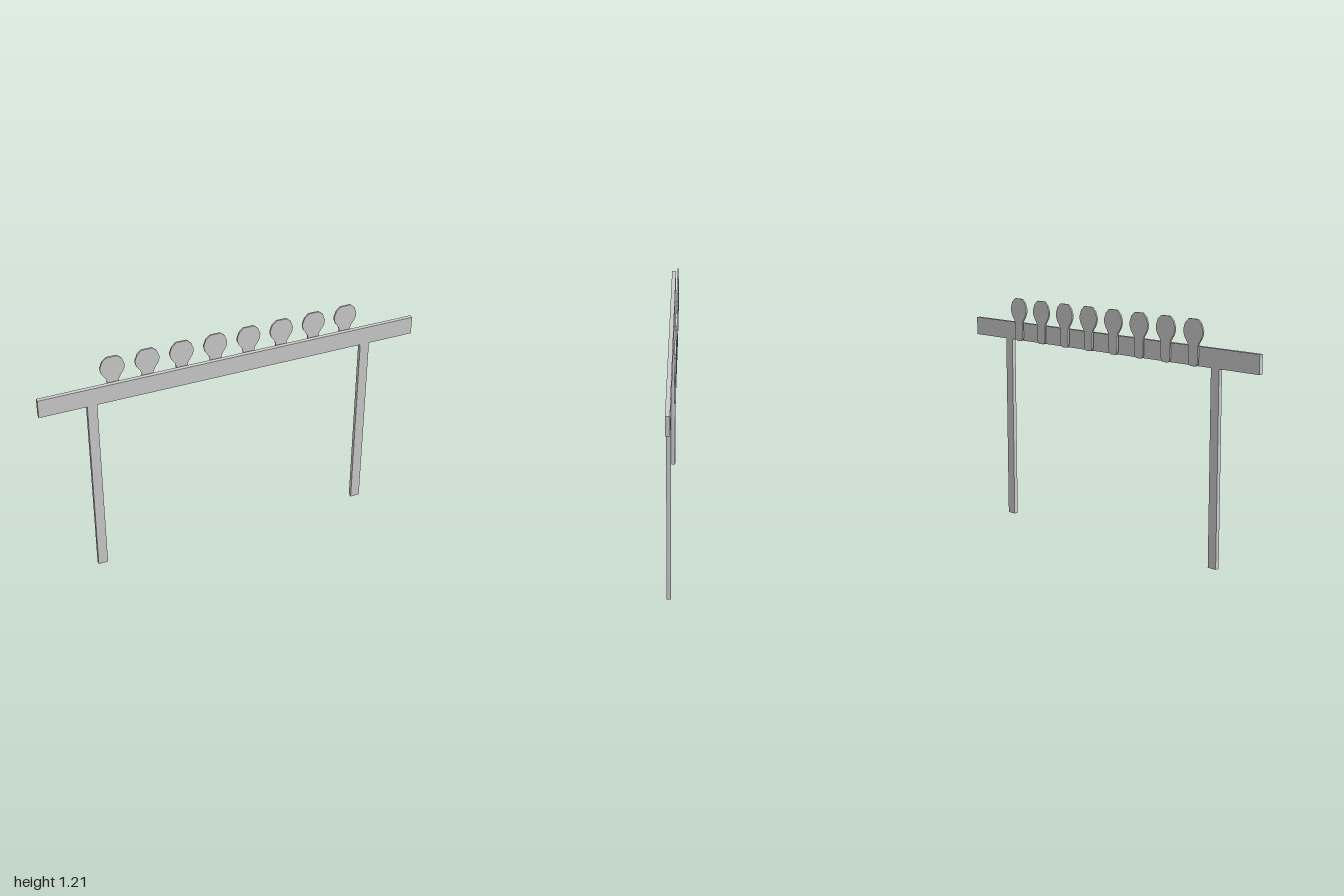
import * as THREE from 'three';

const material = new THREE.MeshStandardMaterial({ color: 0xcccccc, flatShading: true });

function box(name, w, h, d, x, y, z) {
  const mesh = new THREE.Mesh(new THREE.BoxGeometry(w, h, d), material);
  mesh.name = name;
  mesh.position.set(x, y, z);
  return mesh;
}

// Half outline of a paddle from the bottom of the stem to the top of the head
const half = [
  [0.015, 0.98], [0.025, 0.986], [0.03, 1.0], [0.03, 1.075], [0.035, 1.09],
  [0.054, 1.118], [0.061, 1.137], [0.062, 1.155], [0.05, 1.187], [0.028, 1.207],
];

function paddleGeometry() {
  const mirrored = half.map(([x, y]) => [-x, y]).reverse();
  const outline = [...half, ...mirrored].map(([x, y]) => new THREE.Vector2(x, y));
  return new THREE.ExtrudeGeometry(new THREE.Shape(outline), { depth: 0.009, bevelEnabled: false });
}

export function createModel() {
  const group = new THREE.Group();
  group.name = 'paddleRack';

  // Crossbeam and the two posts below it
  group.add(box('crossbeam', 2, 0.095, 0.022, 0, 1.0275, 0.011));
  group.add(box('rightPost', 0.05, 0.98, 0.022, -0.735, 0.49, 0.011));
  group.add(box('leftPost', 0.05, 0.98, 0.022, 0.73, 0.49, 0.011));

  // Row of eight flat paddles standing just behind the beam
  const geometry = paddleGeometry();
  for (let i = 0; i < 8; i++) {
    const paddle = new THREE.Mesh(geometry, material);
    paddle.name = `paddle${i + 1}`;
    paddle.position.set(-0.614 + i * 0.1774, 0, -0.021);
    group.add(paddle);
  }
  return group;
}
